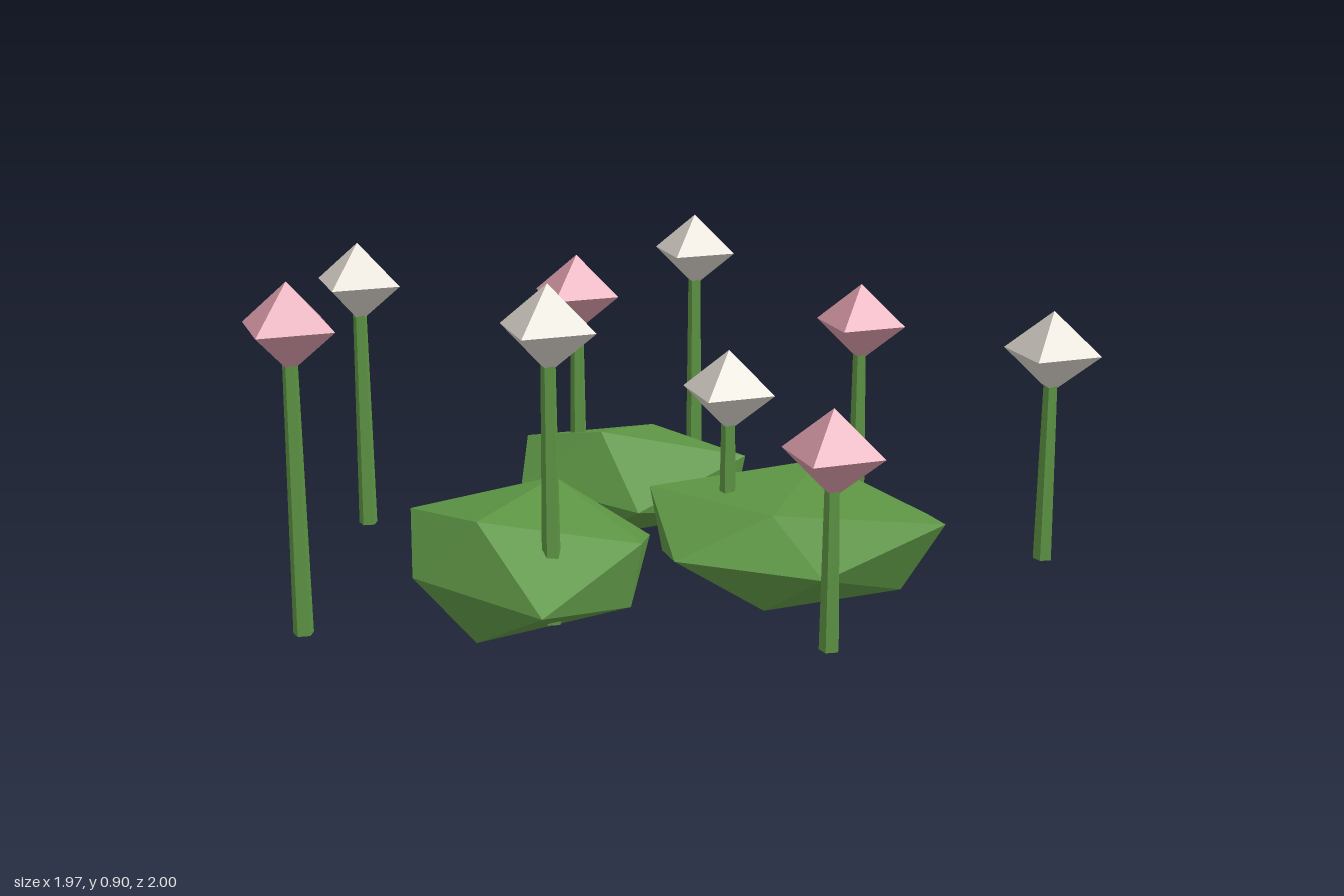
import * as THREE from 'three';
import { ConvexGeometry } from 'three/addons/geometries/ConvexGeometry.js';

const flat = (name, color) => {
  const m = new THREE.MeshStandardMaterial({ color, flatShading: true });
  m.name = name;
  return m;
};

// Faceted leaf clump: a ring at mid height, plus ridge, keel and side points
function leafClump({ ring, points }) {
  const corners = ring.map(([x, z]) => new THREE.Vector3(x, 0.147, z));
  points.forEach((p) => corners.push(new THREE.Vector3(...p)));
  return new ConvexGeometry(corners);
}

const CLUMPS = [
  { // front
    ring: [[-0.465, 0.115], [-0.03, 0.115], [0, 0.745], [-0.41, 0.635]],
    points: [
      [-0.25, 0.3, 0.6], [-0.25, 0.3, 0.21], // ridge
      [-0.25, 0, 0.615], [-0.24, 0.025, 0.22], // keel
      [-0.55, 0.235, 0.41], [-0.53, 0.07, 0.41], // sides
      [0.09, 0.235, 0.41], [0.06, 0.07, 0.41],
    ],
  },
  { // left
    ring: [[0.08, -0.31], [0.56, -0.33], [0.49, 0.245], [0.11, 0.27]],
    points: [
      [0.31, 0.25, 0.13], [0.3, 0.3, -0.2],
      [0.31, 0.02, 0.18], [0.31, 0.02, -0.22],
      [0.71, 0.245, 0], [0.6, 0.06, 0],
      [-0.085, 0.235, 0], [-0.05, 0.065, 0],
    ],
  },
  { // back
    ring: [[-0.54, -0.575], [-0.145, -0.64], [-0.13, -0.025], [-0.53, -0.125]],
    points: [
      [-0.32, 0.3, -0.19], [-0.3, 0.25, -0.47],
      [-0.34, 0.01, -0.15], [-0.3, 0.02, -0.52],
      [-0.63, 0.21, -0.345], [-0.63, 0.09, -0.345],
      [0.035, 0.235, -0.345], [0, 0.07, -0.345],
    ],
  },
];

// Flower heads: x, height of the head's centre, z, pink or not
const FLOWERS = [
  [-0.86, 0.725, 0.13, false],
  [-0.565, 0.8, 0.87, true],
  [-0.44, 0.65, -0.29, true],
  [-0.355, 0.665, -0.875, false],
  [-0.07, 0.78, 0.565, false],
  [0.135, 0.515, 0, false],
  [0.29, 0.59, -0.525, true],
  [0.585, 0.535, 0.45, true],
  [0.86, 0.61, -0.355, false],
];

export function createModel() {
  const model = new THREE.Group();
  model.name = 'flowerPatch';
  const green = flat('leafGreen', 0x5e9645);
  const pink = flat('petalPink', 0xd99aa8);
  const white = flat('petalWhite', 0xd8d4ca);

  CLUMPS.forEach((clump, i) => {
    const mesh = new THREE.Mesh(leafClump(clump), green);
    mesh.name = `leafClump${i + 1}`;
    model.add(mesh);
  });

  // Flowers: tapered five-sided stem under an eight-sided head
  const headGeometry = new THREE.OctahedronGeometry(0.125).scale(1, 0.84, 1);
  const stemBase = 0.065;
  FLOWERS.forEach(([x, y, z, isPink], i) => {
    const flower = new THREE.Group();
    flower.name = `flower${i + 1}`;
    flower.position.set(x, 0, z);

    const height = y - 0.04 - stemBase;
    const stem = new THREE.Mesh(new THREE.CylinderGeometry(0.018, 0.025, height, 5), green);
    stem.name = 'stem';
    stem.position.y = stemBase + height / 2;

    const head = new THREE.Mesh(headGeometry, isPink ? pink : white);
    head.name = 'flowerHead';
    head.position.y = y;

    flower.add(stem, head);
    model.add(flower);
  });
  return model;
}
